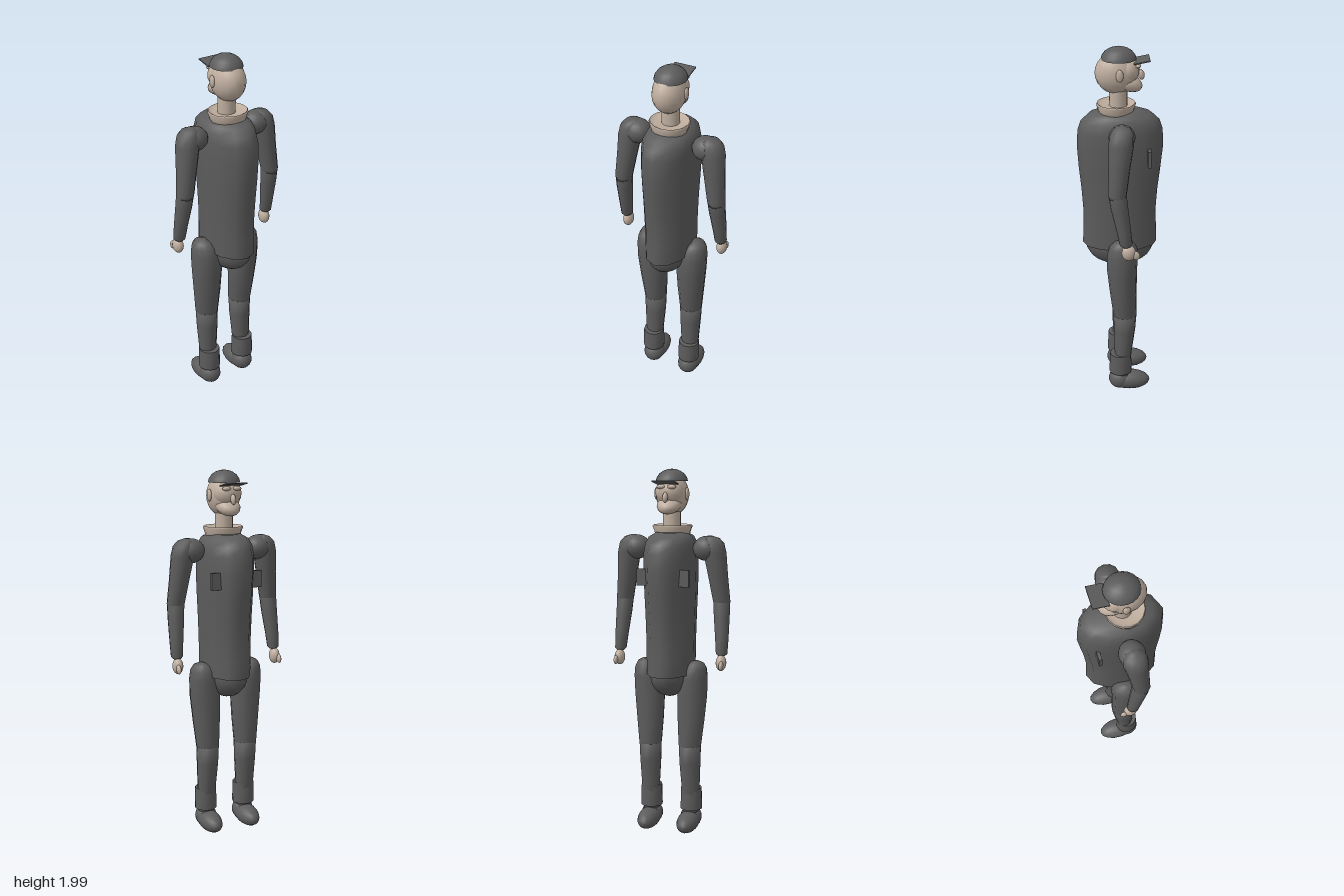
import * as THREE from 'three';

const cloth = new THREE.MeshStandardMaterial({ color: 0x5c5c5c });
cloth.name = 'greyCloth';
const skin = new THREE.MeshStandardMaterial({ color: 0xbfae9f });
skin.name = 'skin';

// Skin of elliptical rings [x, y, z, rx, rz], listed upwards; a repeated ring makes a hard edge
function loft(rings, sides = 12) {
  const pos = [], idx = [];
  for (const [x, y, z, rx, rz] of rings) {
    for (let j = 0; j < sides; j++) {
      const a = (j / sides) * Math.PI * 2;
      pos.push(x + rx * Math.sin(a), y, z + rz * Math.cos(a));
    }
  }
  for (let i = 0; i < rings.length - 1; i++) {
    for (let j = 0; j < sides; j++) {
      const k = (j + 1) % sides;
      const a = i * sides + j, b = i * sides + k;
      idx.push(a, b, b + sides, a, b + sides, a + sides);
    }
  }
  // End caps
  const last = (rings.length - 1) * sides;
  const c0 = pos.length / 3;
  pos.push(...rings[0].slice(0, 3), ...rings[rings.length - 1].slice(0, 3));
  for (let j = 0; j < sides; j++) {
    const k = (j + 1) % sides;
    idx.push(c0, k, j, c0 + 1, last + j, last + k);
  }
  const g = new THREE.BufferGeometry();
  g.setAttribute('position', new THREE.Float32BufferAttribute(pos, 3));
  g.setIndex(idx);
  g.computeVertexNormals();
  return g;
}

export function createModel() {
  const model = new THREE.Group();
  model.name = 'standingMan';

  const add = (name, geo, mat, parent = model) => {
    const m = new THREE.Mesh(geo, mat);
    m.name = name;
    parent.add(m);
    return m;
  };
  const ball = (name, mat, p, r, parent = model, tilt = 0) => {
    const m = add(name, new THREE.SphereGeometry(1, 16, 12), mat, parent);
    m.position.set(...p);
    m.scale.set(...r);
    m.rotation.x = tilt;
    return m;
  };
  const box = (name, mat, p, s, tilt = 0, turn = 0) => {
    const m = add(name, new THREE.BoxGeometry(...s), mat);
    m.position.set(...p);
    m.rotation.set(tilt, turn, 0);
    return m;
  };

  // Jacket and pelvis
  add('jacket', loft([
    [0, 0.9, 0.002, 0.125, 0.203], [0, 0.9, 0.002, 0.125, 0.203],
    [0, 1.0, 0.002, 0.127, 0.199], [0, 1.1, 0.003, 0.129, 0.197],
    [0, 1.22, 0.003, 0.132, 0.205], [0, 1.35, 0.002, 0.136, 0.219],
    [0, 1.47, 0, 0.139, 0.229], [0, 1.56, 0, 0.138, 0.224],
    [0, 1.61, 0, 0.131, 0.207], [0, 1.645, 0, 0.115, 0.17], [0, 1.667, 0, 0.08, 0.1],
  ]), cloth);
  ball('pelvis', cloth, [0, 0.9, 0.002], [0.11, 0.132, 0.187]);

  // Collar and neck
  add('collar', loft([
    [0, 1.64, 0.022, 0.092, 0.088], [0, 1.67, 0.022, 0.098, 0.096],
    [0, 1.698, 0.021, 0.109, 0.104], [0, 1.705, 0.021, 0.104, 0.1],
    [0, 1.705, 0.021, 0.104, 0.1], [0, 1.69, 0.021, 0.08, 0.076],
  ], 16), skin);
  const neck = add('neck', new THREE.CylinderGeometry(0.048, 0.048, 0.14, 16), skin);
  neck.position.set(0, 1.72, 0.01);

  // Head
  ball('skull', skin, [0, 1.865, 0.02], [0.086, 0.11, 0.111]);
  ball('jaw', skin, [0, 1.815, -0.035], [0.066, 0.045, 0.085], model, -0.38);
  ball('face', skin, [0, 1.88, -0.035], [0.076, 0.07, 0.065]);
  ball('nose', skin, [0, 1.853, -0.108], [0.014, 0.028, 0.018], model, 0.25);
  for (const s of [-1, 1]) {
    ball('ear', skin, [s * 0.086, 1.87, 0.006], [0.011, 0.033, 0.02]);
    ball('brow', skin, [s * 0.03, 1.908, -0.089], [0.024, 0.012, 0.016]);
  }

  // Cap: dome with a closed underside, and a peak
  add('capDome', loft([
    [0, 1.936, 0.008, 0.085, 0.092], [0, 1.936, 0.008, 0.085, 0.092],
    [0, 1.955, 0.008, 0.08, 0.087], [0, 1.975, 0.008, 0.066, 0.072],
    [0, 1.99, 0.008, 0.044, 0.049], [0, 1.998, 0.008, 0.022, 0.025],
    [0, 2.0, 0.008, 0.004, 0.004],
  ], 20), cloth);
  box('capPeak', cloth, [0, 1.93, -0.11], [0.12, 0.006, 0.085], 0.19);

  for (const s of [-1, 1]) {
    const side = s > 0 ? 'left' : 'right';

    // Arm
    const arm = new THREE.Group();
    arm.name = side + 'Arm';
    model.add(arm);
    ball('shoulder', cloth, [s * 0.197, 1.583, 0], [0.074, 0.066, 0.069], arm);
    add('upperArm', loft([
      [s * 0.277, 1.28, 0.027, 0.044, 0.044], [s * 0.276, 1.3, 0.027, 0.048, 0.048],
      [s * 0.257, 1.44, 0.016, 0.055, 0.056], [s * 0.242, 1.56, 0.006, 0.063, 0.065],
      [s * 0.235, 1.61, 0.003, 0.058, 0.062], [s * 0.225, 1.638, 0.002, 0.042, 0.045],
      [s * 0.215, 1.65, 0.002, 0.014, 0.016],
    ]), cloth, arm);
    add('forearm', loft([
      [s * 0.29, 1.01, -0.018, 0.02, 0.022], [s * 0.29, 1.022, -0.017, 0.032, 0.034],
      [s * 0.287, 1.1, -0.005, 0.037, 0.038], [s * 0.28, 1.22, 0.016, 0.044, 0.045],
      [s * 0.276, 1.3, 0.027, 0.047, 0.047], [s * 0.274, 1.33, 0.027, 0.035, 0.035],
    ]), cloth, arm);
    ball('hand', skin, [s * 0.291, 0.973, -0.032], [0.028, 0.044, 0.038], arm);
    ball('thumb', skin, [s * 0.3, 0.962, -0.068], [0.012, 0.026, 0.022], arm, 0.5);

    // Leg
    const leg = new THREE.Group();
    leg.name = side + 'Leg';
    model.add(leg);
    add('thigh', loft([
      [s * 0.115, 0.485, -0.022, 0.058, 0.06], [s * 0.115, 0.5, -0.022, 0.064, 0.066],
      [s * 0.118, 0.64, -0.012, 0.076, 0.074], [s * 0.122, 0.78, -0.005, 0.085, 0.082],
      [s * 0.13, 0.88, -0.007, 0.079, 0.084], [s * 0.137, 0.93, -0.01, 0.066, 0.075],
      [s * 0.143, 0.958, -0.012, 0.045, 0.054], [s * 0.145, 0.972, -0.013, 0.016, 0.02],
    ]), cloth, leg);
    add('shin', loft([
      [s * 0.117, 0.11, -0.005, 0.045, 0.045], [s * 0.117, 0.25, -0.012, 0.052, 0.048],
      [s * 0.115, 0.4, -0.02, 0.06, 0.06], [s * 0.115, 0.5, -0.022, 0.063, 0.065],
    ]), cloth, leg);
    add('trouserCuff', loft([
      [s * 0.117, 0.125, 0.003, 0.062, 0.064], [s * 0.117, 0.125, 0.003, 0.062, 0.064],
      [s * 0.117, 0.245, 0.003, 0.059, 0.06], [s * 0.117, 0.245, 0.003, 0.059, 0.06],
    ]), cloth, leg);
    ball('shoeHeel', cloth, [s * 0.115, 0.072, 0.005], [0.06, 0.062, 0.066], leg);
    ball('shoe', cloth, [s * 0.115, 0.064, -0.048], [0.06, 0.056, 0.117], leg, -0.04)
      .position.y = 0.061;

    // Chest pocket
    box(side + 'Pocket', cloth, [s * 0.11, 1.435, -0.147], [0.07, 0.09, 0.018]);
  }

  // Stand the soles on the ground
  const bounds = new THREE.Box3().setFromObject(model, true);
  for (const part of model.children) part.position.y -= bounds.min.y;
  return model;
}
